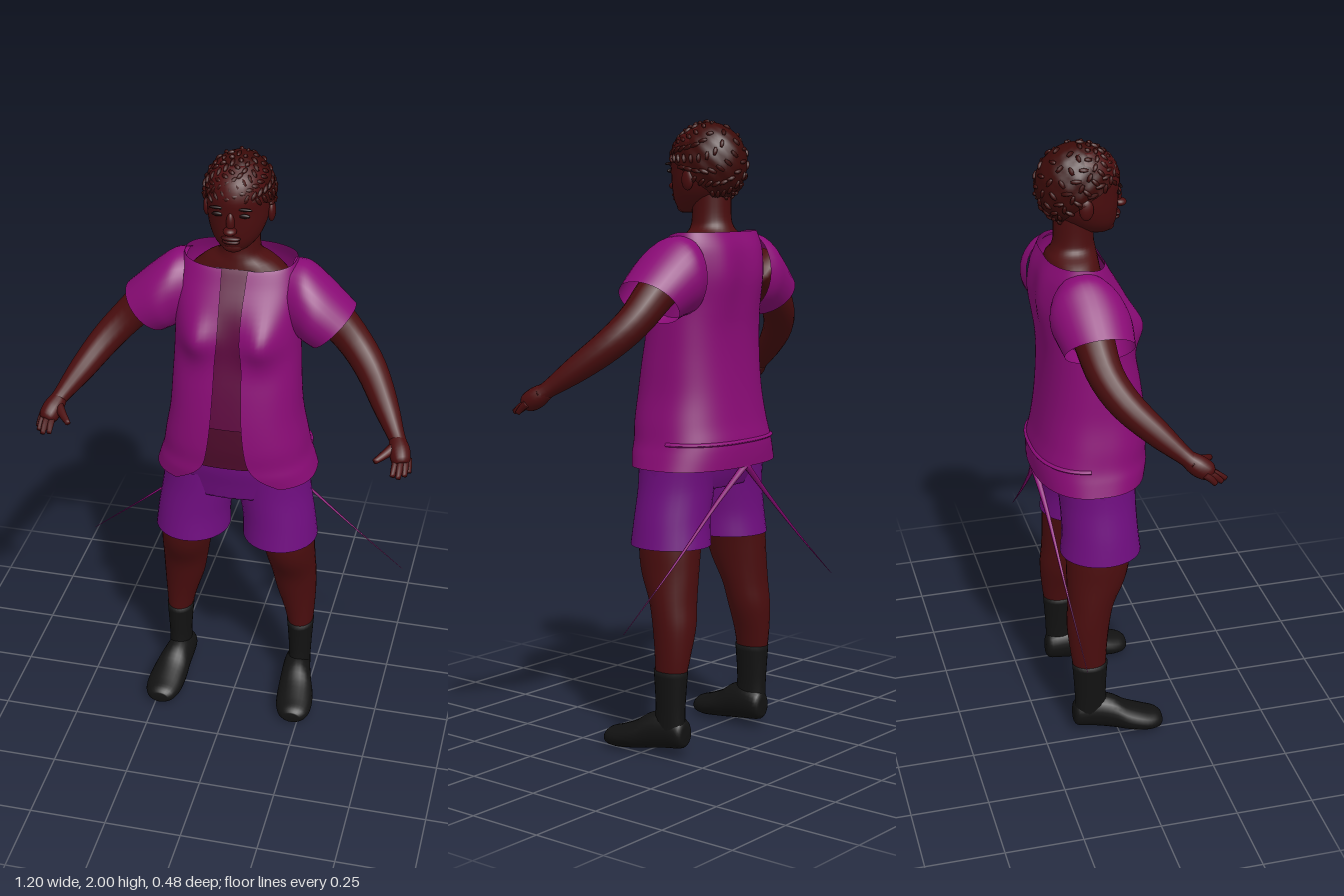
import * as THREE from 'three';
import { mergeVertices, mergeGeometries } from 'three/addons/utils/BufferGeometryUtils.js';

const mat = (name, color, side = THREE.FrontSide) => {
  const m = new THREE.MeshStandardMaterial({ color, side });
  m.name = name;
  return m;
};
const V = (x, y, z) => new THREE.Vector3(x, y, z);

// Smoothly interpolate a table of rows, t in 0..1
function sample(rows, t) {
  const n = rows.length - 1, f = Math.min(Math.max(t, 0), 1) * n;
  const i = Math.min(Math.floor(f), n - 1), k = f - i;
  const at = j => rows[Math.min(Math.max(j, 0), n)];
  return rows[0].map((_, c) => {
    const [a, b, d, e] = [at(i - 1)[c], at(i)[c], at(i + 1)[c], at(i + 2)[c]];
    return b + 0.5 * k * (d - a + k * (2 * a - 5 * b + 4 * d - e + k * (3 * (b - d) + e - a)));
  });
}

// Grid surface from a rule fn(u, v) -> Vector3
function surface(fn, nu, nv) {
  const pos = [], idx = [];
  for (let j = 0; j <= nv; j++)
    for (let i = 0; i <= nu; i++) pos.push(...fn(i / nu, j / nv).toArray());
  for (let j = 0; j < nv; j++)
    for (let i = 0; i < nu; i++) {
      const a = j * (nu + 1) + i, b = a + 1, c = b + nu + 1, d = a + nu + 1;
      idx.push(a, b, c, a, c, d);
    }
  let g = new THREE.BufferGeometry();
  g.setAttribute('position', new THREE.Float32BufferAttribute(pos, 3));
  g.setIndex(idx);
  g = mergeVertices(g, 1e-5);
  g.computeVertexNormals();
  return g;
}

// Closed loft; ring(t) gives centre c and half axes U, W; capped ends by default
function loft(ring, nu = 24, nv = 24, cap = true) {
  const extra = cap ? 1 : 0;
  return surface((u, v) => {
    const j = Math.round(v * (nv + 2 * extra)) - extra;
    const { c, U, W } = ring(Math.min(Math.max(j / nv, 0), 1));
    if (j < 0 || j > nv) return c;
    const a = (u === 1 ? 0 : u) * Math.PI * 2;
    return c.clone().addScaledVector(U, Math.sin(a)).addScaledVector(W, Math.cos(a));
  }, nu, nv + 2 * extra);
}

// Upright loft, rows [y, centre x, half width, front z, back z]
const upright = (rows, nu, nv, cap) => loft(t => {
  const [y, cx, w, f, b] = sample(rows, t);
  return { c: V(cx, y, (f + b) / 2), U: V(w, 0, 0), W: V(0, 0, (f - b) / 2) };
}, nu, nv, cap);

// Tapered limb, rows [x, y, z, radius]
const limb = (rows, nu = 16, nv = 20) => loft(t => {
  const p = sample(rows, t), a = sample(rows, t - 0.02), b = sample(rows, t + 0.02);
  const d = V(b[0] - a[0], b[1] - a[1], b[2] - a[2]).normalize();
  const W = V(0, 0.6, 1).addScaledVector(d, -V(0, 0.6, 1).dot(d)).normalize();
  return { c: V(p[0], p[1], p[2]), U: d.clone().cross(W).multiplyScalar(p[3]), W: W.multiplyScalar(p[3]) };
}, nu, nv);

// Shirt rows [y, half width, front z, back z, half opening]
const TORSO = [
  [0.92, 0.262, 0.122, -0.235, 0.17], [0.96, 0.25, 0.13, -0.237, 0.11], [1.0, 0.238, 0.13, -0.235, 0.075],
  [1.06, 0.228, 0.132, -0.222, 0.06], [1.15, 0.212, 0.125, -0.21, 0.05], [1.25, 0.205, 0.11, -0.202, 0.045],
  [1.35, 0.2, 0.09, -0.2, 0.042], [1.43, 0.197, 0.083, -0.205, 0.035], [1.52, 0.198, 0.06, -0.212, 0.035],
  [1.6, 0.19, 0.02, -0.205, 0.038], [1.655, 0.176, -0.005, -0.185, 0.04]];
const pw = (s, e) => Math.sign(s) * Math.pow(Math.abs(s), e);
function torsoPoint(v, a, inset = 0) {
  const [y, w, f, b] = sample(TORSO, v);
  const x = (w - inset) * pw(Math.sin(a), 0.82), c = pw(Math.cos(a), 0.82);
  let z = (f + b) / 2 + ((f - b) / 2 - inset) * c;
  const bump = (cx, sx, cy, sy) => Math.exp(-(((Math.abs(x) - cx) / sx) ** 2) - ((y - cy) / sy) ** 2);
  if (c > 0) z += 0.038 * bump(0.105, 0.055, 1.43, 0.07);
  else z -= 0.012 * bump(0.08, 0.05, 1.52, 0.12);
  return V(x, y - 0.02 * Math.max(c, 0) * v ** 8, z);
}
const openAngle = (half, w) => Math.asin(Math.pow(half / w, 1 / 0.82));

export function createModel() {
  const skin = mat('skin', 0x4a0d0e), hairMat = mat('hair', 0x3a0a08), dark = mat('eyeDark', 0x180405);
  const lipMat = mat('lips', 0x3c0a0c), black = mat('footwear', 0x121212);
  const shirtMat = mat('shirtMagenta', 0x8a0b76, THREE.DoubleSide);
  const shortsMat = mat('shortsPurple', 0x700d80, THREE.DoubleSide);
  const panelMat = mat('undershirt', 0x5e0a40, THREE.DoubleSide);
  const underMat = mat('undershirtDark', 0x4c0a2a, THREE.DoubleSide);
  const model = new THREE.Group();
  const add = (name, geo, m, parent = model) => {
    const mesh = new THREE.Mesh(geo, m);
    mesh.name = name;
    parent.add(mesh);
    return mesh;
  };
  const ball = (name, m, parent, p, s) => {
    const b = add(name, new THREE.SphereGeometry(1, 20, 14), m, parent);
    b.position.set(...p);
    b.scale.set(...s);
    return b;
  };

  // Open shirt and the undershirt behind the opening
  add('shirt', surface((u, v) => {
    const [, w, , , open] = sample(TORSO, v), a0 = openAngle(open, w);
    return torsoPoint(v, a0 + (Math.PI * 2 - 2 * a0) * u);
  }, 72, 50), shirtMat);
  const strip = (v0, v1, half, inset) => surface((u, t) => {
    const v = v0 + (v1 - v0) * t, a = openAngle(half, sample(TORSO, v)[1]);
    return torsoPoint(v, (2 * u - 1) * a, inset);
  }, 10, 24);
  add('undershirtFront', strip(0.385, 1, 0.062, 0.006), panelMat);
  add('undershirtLower', strip(0.18, 0.42, 0.11, 0.012), underMat);
  // Folded band around the back of the shirt
  add('hemFold', surface((u, v) => {
    const p = torsoPoint(0.19 + 0.025 * v, Math.PI * (0.55 + 0.9 * u), -0.007 * Math.sin(Math.PI * v));
    return p;
  }, 40, 6), shirtMat);

  // Chest and neck
  add('chestAndNeck', upright([[1.2, 0, 0.15, 0.06, -0.17], [1.45, 0, 0.17, 0.03, -0.18], [1.58, 0, 0.165, -0.005, -0.18],
    [1.635, 0, 0.12, -0.015, -0.175], [1.665, 0, 0.072, -0.02, -0.16], [1.7, 0, 0.062, -0.025, -0.15],
    [1.78, 0, 0.062, -0.025, -0.15]], 28, 30), skin);

  // Head and face
  const head = new THREE.Group();
  head.name = 'head';
  model.add(head);
  add('skull', upright([[1.712, 0, 0.026, 0.018, -0.03], [1.722, 0, 0.046, 0.033, -0.07], [1.75, 0, 0.072, 0.045, -0.12],
    [1.79, 0, 0.089, 0.05, -0.16], [1.84, 0, 0.097, 0.053, -0.185], [1.89, 0, 0.098, 0.056, -0.185],
    [1.94, 0, 0.086, 0.036, -0.17], [1.975, 0, 0.055, -0.01, -0.13]], 32, 32), skin, head);
  ball('noseBridge', skin, head, [0, 1.82, 0.051], [0.013, 0.032, 0.014]);
  ball('noseTip', skin, head, [0, 1.795, 0.058], [0.021, 0.013, 0.022]);
  ball('upperLip', lipMat, head, [0, 1.766, 0.046], [0.03, 0.008, 0.014]);
  ball('lowerLip', lipMat, head, [0, 1.754, 0.043], [0.027, 0.008, 0.014]);
  ball('chin', skin, head, [0, 1.73, 0.02], [0.032, 0.02, 0.02]);
  for (const s of [1, -1]) {
    ball('eye', dark, head, [s * 0.04, 1.842, 0.044], [0.019, 0.007, 0.006]);
    ball('eyebrow', dark, head, [s * 0.042, 1.864, 0.047], [0.025, 0.005, 0.006]);
    ball('ear', skin, head, [s * 0.1, 1.815, -0.07], [0.012, 0.033, 0.022]);
  }

  // Hair cap with a low nape, covered in short twisted locks
  const hairPoint = (a, th, grow = 0) => V((0.107 + grow) * Math.sin(th) * Math.sin(a),
    1.865 + (0.128 + grow) * Math.cos(th), -0.076 + (0.128 + grow) * Math.sin(th) * Math.cos(a));
  const hairline = a => 1.98 - 0.72 * Math.cos(a) + 0.12 * Math.cos(2 * a);
  add('hairCap', surface((u, v) => {
    const a = (u === 1 ? 0 : u) * Math.PI * 2, th = v * hairline(a);
    return hairPoint(a, th, 0.003 * Math.sin(a * 12) * Math.sin(th * 14) * v);
  }, 64, 30).scale(1, 1, 1), Object.assign(hairMat, { side: THREE.DoubleSide }), head);
  const locks = [];
  for (let i = 0; i < 130; i++) {
    const a = i * 2.39996, th = hairline(a) * Math.sqrt((i + 0.5) / 130);
    const rows = [-1, 0, 1].map(k => [...hairPoint(a + k * 0.13 * Math.sin(i * 1.7), th + k * 0.1 * Math.cos(i * 1.7), 0.001)
      .toArray(), k ? 0.004 : 0.0075]);
    locks.push(limb(rows, 6, 4));
  }
  add('hairLocks', mergeGeometries(locks), hairMat, head);

  // Hips of the shorts
  add('shortsHips', upright([[0.85, 0, 0.235, 0.075, -0.165], [0.9, 0, 0.242, 0.085, -0.185], [0.97, 0, 0.236, 0.1, -0.2],
    [1.06, 0, 0.21, 0.105, -0.19]], 40, 14), shortsMat);

  // Paired parts, built on the left and mirrored
  for (const s of [1, -1]) {
    const side = new THREE.Group();
    side.name = s > 0 ? 'leftSide' : 'rightSide';
    side.scale.x = s;
    model.add(side);

    // Sleeve rows [top x, top y, bottom x, bottom y, z, half depth]
    const sleeve = [[0.166, 1.645, 0.16, 1.4, -0.1, 0.1], [0.215, 1.638, 0.19, 1.395, -0.095, 0.115],
      [0.28, 1.59, 0.212, 1.388, -0.085, 0.118], [0.365, 1.512, 0.235, 1.377, -0.08, 0.108]];
    add('sleeve', loft(t => {
      const [tx, ty, bx, by, z, r] = sample(sleeve, t);
      return { c: V((tx + bx) / 2, (ty + by) / 2, z), U: V(0, 0, r), W: V((tx - bx) / 2, (ty - by) / 2, 0) };
    }, 32, 18, false), shirtMat, side);

    // Arm and hand
    add('arm', limb([[0.2, 1.54, -0.1, 0.07], [0.29, 1.47, -0.095, 0.062], [0.365, 1.395, -0.08, 0.055],
      [0.43, 1.325, -0.035, 0.05], [0.49, 1.25, 0.045, 0.041], [0.537, 1.19, 0.115, 0.027], [0.553, 1.17, 0.14, 0.027]]), skin, side);
    add('palm', limb([[0.54, 1.185, 0.12, 0.025], [0.553, 1.163, 0.15, 0.033], [0.563, 1.145, 0.178, 0.03],
      [0.567, 1.137, 0.19, 0.02]], 16, 10), skin, side);
    for (const [x0, z0, x1, z1] of [[0.583, 0.165, 0.592, 0.196], [0.577, 0.175, 0.582, 0.218],
      [0.564, 0.18, 0.565, 0.235], [0.55, 0.175, 0.546, 0.228]])
      add('finger', limb([[x0, 1.145, z0, 0.013], [(x0 + x1) / 2, 1.132, (z0 + z1) / 2, 0.011], [x1, 1.114, z1, 0.008]], 8, 8), skin, side);
    add('thumb', limb([[0.54, 1.172, 0.145, 0.018], [0.515, 1.16, 0.178, 0.014], [0.487, 1.148, 0.21, 0.009]], 8, 8), skin, side);

    // Shorts leg, leg, sock and shoe
    add('shortsLeg', upright([[0.67, 0.148, 0.124, 0.09, -0.172], [0.75, 0.142, 0.12, 0.082, -0.165],
      [0.85, 0.126, 0.12, 0.078, -0.168], [0.93, 0.12, 0.12, 0.08, -0.18]], 32, 16, false), shortsMat, side);
    add('leg', upright([[0.26, 0.214, 0.041, -0.04, -0.148], [0.33, 0.208, 0.052, -0.036, -0.158], [0.42, 0.196, 0.068, -0.024, -0.165],
      [0.5, 0.188, 0.076, -0.006, -0.16], [0.59, 0.178, 0.083, 0.036, -0.16], [0.68, 0.168, 0.09, 0.05, -0.16],
      [0.85, 0.14, 0.1, 0.06, -0.16]], 24, 28), skin, side);
    add('sock', upright([[0.08, 0.212, 0.038, -0.03, -0.145], [0.16, 0.214, 0.038, -0.04, -0.145],
      [0.28, 0.213, 0.046, -0.034, -0.153]], 24, 10), black, side);
    // Shoe rows [z, centre x, half width, bottom y, top y]
    const shoe = [[-0.148, 0.205, 0.022, 0.045, 0.1], [-0.135, 0.205, 0.038, 0.03, 0.125], [-0.08, 0.208, 0.046, 0.022, 0.142],
      [-0.02, 0.216, 0.053, 0.013, 0.132], [0.03, 0.224, 0.061, 0.006, 0.1], [0.09, 0.23, 0.061, 0, 0.075],
      [0.13, 0.232, 0.048, 0.002, 0.062], [0.147, 0.232, 0.028, 0.012, 0.048]];
    add('shoe', loft(t => {
      const [z, cx, w, y0, y1] = sample(shoe, t);
      return { c: V(cx, (y0 + y1) / 2, z), U: V(-w, 0, 0), W: V(0, (y1 - y0) / 2, 0) };
    }, 24, 24), black, side);

    // Long thin strand hanging from the back hem
    add('strand', limb([[0, 0.925, -0.225, 0.012], [0.13, 0.815, -0.21, 0.007], [0.33, 0.645, -0.198, 0.0035],
      [0.545, 0.475, -0.184, 0.0008]], 6, 12), shirtMat, side);
  }
  return model;
}
